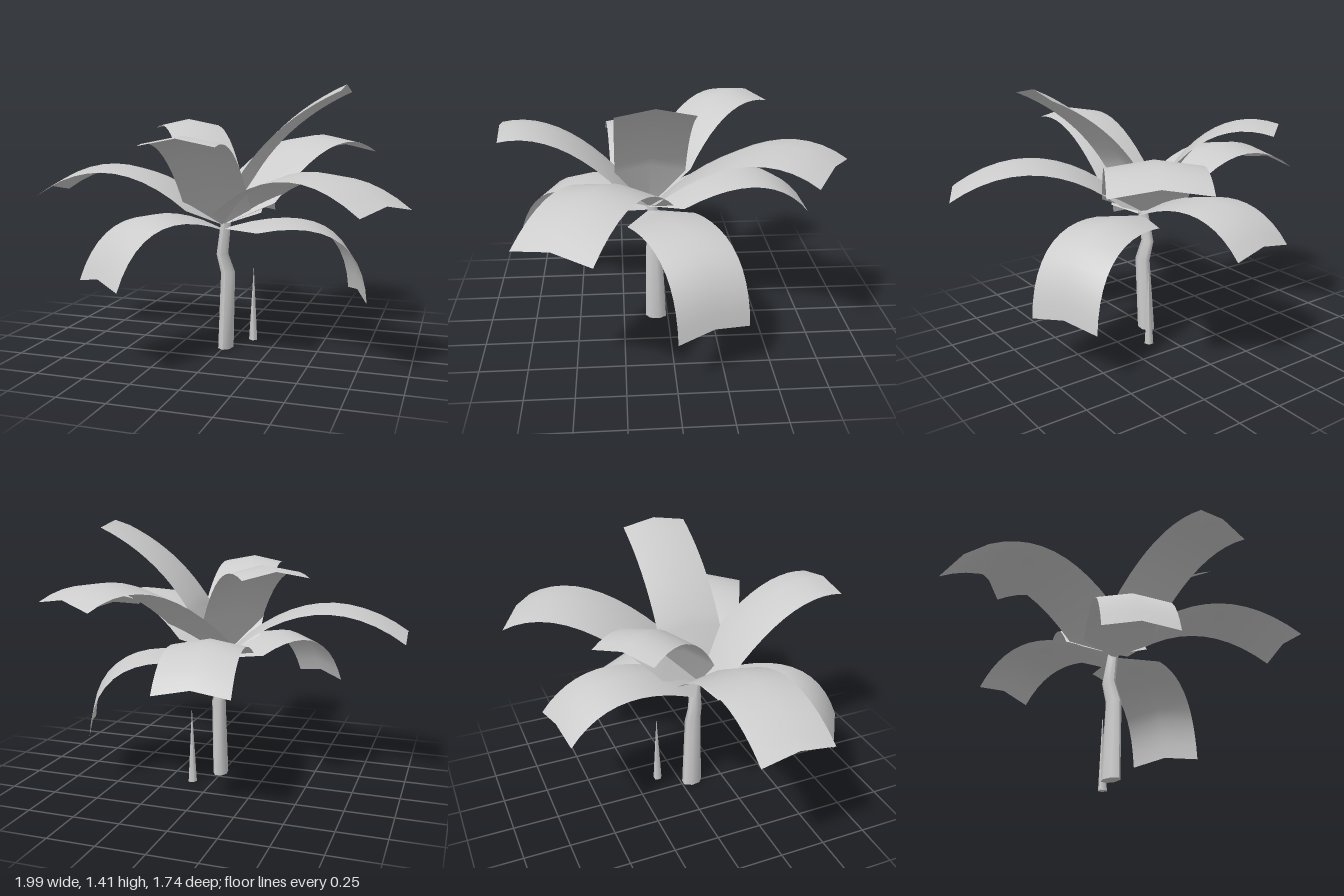
import * as THREE from 'three';

const grey = new THREE.MeshStandardMaterial({ color: 0xcccccc, side: THREE.DoubleSide });
grey.name = 'plain grey';

const CROWN = { x: 0, z: 0.1 };
const FOLD = 0.035; // how far the leaf edges hang below the midrib
const ROWS = 12;

// Tip position, width, then the arch: root height, control reach and height, tip height,
// and the share of the arch taken by the pointed base
const LEAVES = [
  { name: 'rightLeaf', tip: [-0.985, 0.145], w: 0.39, y0: 0.68, c: [0.50, 1.20], y1: 0.86, base: 0.14 },
  { name: 'backRightRisingLeaf', tip: [-0.44, -0.475], w: 0.335, y0: 0.68, c: [0.31, 1.33], y1: 1.21, base: 0.23 },
  { name: 'backLeaf', tip: [-0.115, -0.735], w: 0.375, y0: 0.68, c: [0.567, 1.025], y1: 0.69, base: 0.14 },
  { name: 'backLeftLeaf', tip: [0.51, -0.755], w: 0.46, y0: 0.68, c: [0.59, 1.31], y1: 1.075, base: 0.14 },
  { name: 'leftDroopingLeaf', tip: [0.68, -0.185], w: 0.40, y0: 0.66, c: [0.70, 0.863], y1: 0.315, base: 0.12 },
  { name: 'leftUprightLeaf', tip: [0.645, 0.095], w: 0.365, y0: 0.68, c: [0.17, 1.20], y1: 1.41, base: 0.3 },
  { name: 'frontLeftLeaf', tip: [0.905, 0.56], w: 0.41, y0: 0.68, c: [0.51, 1.20], y1: 0.87, base: 0.14 },
  { name: 'frontLeaf', tip: [0.035, 0.86], w: 0.355, y0: 0.68, c: [0.40, 1.24], y1: 1.165, base: 0.13 },
  { name: 'frontRightDroopingLeaf', tip: [-0.42, 0.725], w: 0.355, y0: 0.66, c: [0.58, 0.956], y1: 0.49, base: 0.12 },
];

// An arched strip with a raised midrib and a pointed base
function makeLeaf({ name, tip, w, y0, c, y1, base }) {
  const dir = new THREE.Vector2(tip[0] - CROWN.x, tip[1] - CROWN.z);
  const reach = dir.length();
  dir.normalize();
  const arch = new THREE.QuadraticBezierCurve(
    new THREE.Vector2(0, y0), new THREE.Vector2(c[0], c[1]), new THREE.Vector2(reach, y1));
  const positions = [];
  const index = [];
  for (let i = 0; i <= ROWS; i++) {
    const t = i === 0 ? 0 : base + (1 - base) * (i - 1) / (ROWS - 1);
    const p = arch.getPoint(t);
    const half = i === 0 ? 0 : w / 2;
    for (const side of [-1, 0, 1]) {
      positions.push(
        CROWN.x + dir.x * p.x - dir.y * side * half,
        p.y - (i === 0 ? 0 : FOLD * Math.abs(side)),
        CROWN.z + dir.y * p.x + dir.x * side * half);
    }
    if (i === ROWS) continue;
    for (let j = 0; j < 2; j++) {
      const a = i * 3 + j;
      if (i > 0) index.push(a, a + 1, a + 3);
      index.push(a + 1, a + 4, a + 3);
    }
  }
  const geometry = new THREE.BufferGeometry();
  geometry.setAttribute('position', new THREE.Float32BufferAttribute(positions, 3));
  geometry.setIndex(index);
  geometry.computeVertexNormals();
  const mesh = new THREE.Mesh(geometry, grey);
  mesh.name = name;
  return mesh;
}

// Crooked stem: each ring of a cylinder is moved to [y, x, z, radius x, radius z]
function makeTrunk() {
  const rings = [
    [0, 0.007, 0.064, 0.041, 0.06],
    [0.42, 0.022, 0.074, 0.038, 0.047],
    [0.52, -0.01, 0.072, 0.031, 0.041],
    [0.69, 0.012, 0.082, 0.028, 0.028],
  ];
  const geometry = new THREE.CylinderGeometry(1, 1, 3, 7, 3);
  const p = geometry.attributes.position;
  for (let i = 0; i < p.count; i++) {
    const [y, x, z, rx, rz] = rings[Math.round(p.getY(i) + 1.5)];
    p.setXYZ(i, x + p.getX(i) * rx, y, z + p.getZ(i) * rz);
  }
  geometry.computeVertexNormals();
  const mesh = new THREE.Mesh(geometry, grey);
  mesh.name = 'trunk';
  return mesh;
}

export function createModel() {
  const plant = new THREE.Group();
  plant.name = 'leafyPalm';
  plant.add(makeTrunk());

  // Young pointed shoot beside the trunk
  const shoot = new THREE.Mesh(new THREE.ConeGeometry(0.025, 0.42, 5), grey);
  shoot.name = 'youngShoot';
  shoot.position.set(0.114, 0.21, -0.112);
  plant.add(shoot);

  const crown = new THREE.Group();
  crown.name = 'crown';
  for (const leaf of LEAVES) crown.add(makeLeaf(leaf));
  plant.add(crown);
  return plant;
}
